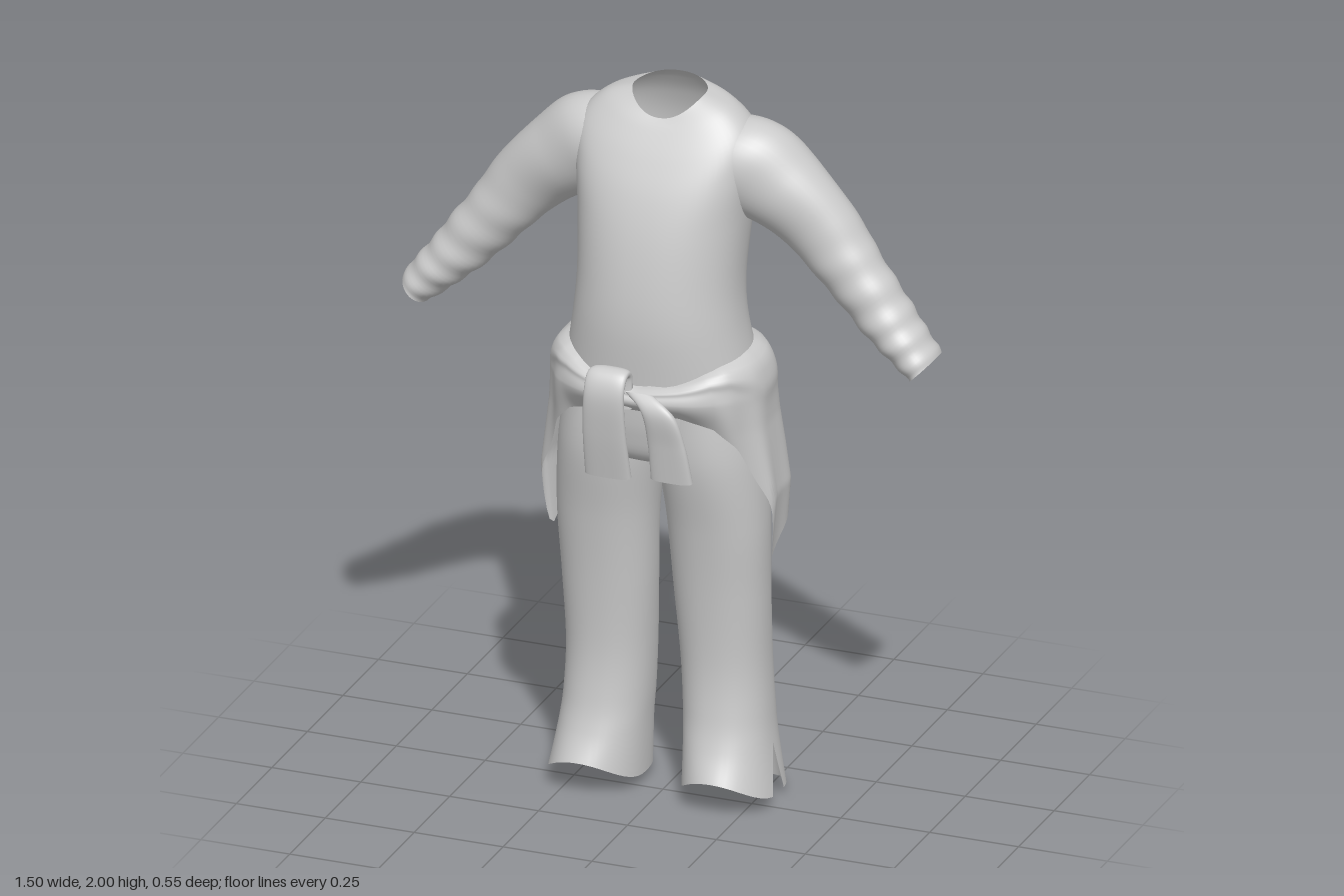
import * as THREE from 'three';
import { mergeVertices } from 'three/addons/utils/BufferGeometryUtils.js';

const cloth = new THREE.MeshStandardMaterial({ color: 0xcccccc, side: THREE.DoubleSide });
const V = (x, y, z) => new THREE.Vector3(x, y, z);

// Smooth interpolation through rows of numbers, t in 0..1
function sample(rows, t) {
  const n = rows.length - 1;
  const i = Math.min(Math.floor(t * n), n - 1), f = t * n - i;
  const [a, b, c, d] = [rows[Math.max(i - 1, 0)], rows[i], rows[i + 1], rows[Math.min(i + 2, n)]];
  return b.map((q, k) => q + 0.5 * f * (c[k] - a[k]
    + f * (2 * a[k] - 5 * q + 4 * c[k] - d[k] + f * (3 * (q - c[k]) + d[k] - a[k]))));
}

// Piecewise linear lookup in rows sorted by their first number
function lookup(rows, x) {
  for (let i = 1; i < rows.length; i++) {
    const [a, b] = [rows[i - 1], rows[i]];
    if (x <= b[0] || i === rows.length - 1) {
      const f = THREE.MathUtils.clamp((x - a[0]) / (b[0] - a[0]), 0, 1);
      return a.map((q, k) => q + (b[k] - q) * f);
    }
  }
}

// Smooth cloth sheet from a point function of u (around) and v (along)
function sheet(name, nu, nv, point) {
  const pos = [], idx = [];
  for (let j = 0; j <= nv; j++)
    for (let i = 0; i <= nu; i++) pos.push(...point(i / nu, j / nv).toArray());
  for (let j = 0; j < nv; j++)
    for (let i = 0; i < nu; i++) {
      const a = j * (nu + 1) + i, c = a + nu + 1;
      idx.push(a, a + 1, c, a + 1, c + 1, c);
    }
  let geo = new THREE.BufferGeometry();
  geo.setAttribute('position', new THREE.Float32BufferAttribute(pos, 3));
  geo.setIndex(idx);
  geo = mergeVertices(geo, 1e-4);
  geo.computeVertexNormals();
  const mesh = new THREE.Mesh(geo, cloth);
  mesh.name = name;
  return mesh;
}

const mirrored = (f) => (u, v) => {
  const p = f(1 - u, v);
  p.x *= -1;
  return p;
};

// Rounded ring: rows of [yFront, yBack, ySide, xInner, xOuter, zFront, zBack, gap]
const ringLoft = (rows, power = 1) => (u, v) => {
  const [yF, yB, yS, x0, x1, zF, zB, gap] = sample(rows, v);
  const g = Math.max(gap, 0), a = g + u * 2 * (Math.PI - g);
  const c = Math.cos(a), s = Math.sin(a);
  const sq = (q) => Math.sign(q) * Math.abs(q) ** power;
  const y = yS + ((s > 0 ? yF : yB) - yS) * s * s;
  return V((x0 + x1) / 2 + (x1 - x0) / 2 * sq(c), y, (zF + zB) / 2 + (zF - zB) / 2 * sq(s));
};

// Tube along rows of [x, y, z, width radius, thickness radius]
const tubeLoft = (rows, wide, power = 1, wrinkle = () => 0) => (u, v) => {
  const [x, y, z, rw, rt] = sample(rows, v);
  const p = (t) => V(...sample(rows, t).slice(0, 3));
  const T = p(Math.min(v + 0.01, 1)).sub(p(Math.max(v - 0.01, 0))).normalize();
  const N = T.clone().cross(wide).normalize();
  const a = u * 2 * Math.PI, k = 1 + wrinkle(a, v);
  const sq = (q) => Math.sign(q) * Math.abs(q) ** power;
  return V(x, y, z).addScaledVector(wide, rw * k * sq(Math.cos(a))).addScaledVector(N, rt * k * sq(Math.sin(a)));
};

const even = (y, rx, zF, zB) => [y, y, y, -rx, rx, zF, zB, 0];

const torsoRows = [
  [1.93, 2.0, 1.985, -0.10, 0.10, 0.03, -0.13, 0],
  [1.90, 1.97, 1.955, -0.18, 0.18, 0.055, -0.155, 0],
  [1.83, 1.91, 1.89, -0.24, 0.24, 0.10, -0.188, 0],
  [1.74, 1.82, 1.80, -0.245, 0.245, 0.145, -0.213, 0],
  [1.63, 1.68, 1.67, -0.232, 0.232, 0.18, -0.222, 0],
  even(1.5, 0.222, 0.203, -0.19),
  even(1.38, 0.23, 0.21, -0.18),
  even(1.24, 0.255, 0.2, -0.2),
];
const hipRows = [
  even(1.28, 0.245, 0.19, -0.19), even(1.18, 0.262, 0.182, -0.205),
  even(1.08, 0.272, 0.17, -0.205), even(1.0, 0.262, 0.14, -0.17), even(0.96, 0.08, 0.05, -0.06),
];
const leg = (y, x0, x1, zF, zB) => [y, y, y, x0, x1, zF, zB, 0];
const legRows = [
  leg(1.16, 0.01, 0.255, 0.165, -0.19), leg(1.0, 0.0, 0.28, 0.16, -0.18),
  leg(0.8, 0.02, 0.29, 0.12, -0.135), leg(0.6, 0.03, 0.285, 0.09, -0.14),
  leg(0.4, 0.042, 0.28, 0.073, -0.165), leg(0.26, 0.05, 0.285, 0.082, -0.178),
  leg(0.17, 0.056, 0.293, 0.105, -0.185),
  [0.1, 0.0, 0.03, 0.06, 0.315, 0.14, -0.2, 0.2],
];
const sleeveRows = [
  [0.13, 1.81, -0.06, 0.115, 0.115], [0.22, 1.79, -0.07, 0.12, 0.135],
  [0.31, 1.735, -0.08, 0.107, 0.12], [0.41, 1.645, -0.085, 0.09, 0.1],
  [0.50, 1.535, -0.083, 0.082, 0.087], [0.59, 1.43, -0.075, 0.08, 0.073],
  [0.66, 1.355, -0.068, 0.078, 0.062], [0.715, 1.30, -0.062, 0.075, 0.048],
];

// Tied jacket: [angle from back, top y, hem y]
const jacketEdge = [
  [0, 1.30, 0.905], [30, 1.30, 0.895], [55, 1.305, 0.85], [75, 1.31, 0.78], [90, 1.31, 0.715],
  [96, 1.31, 0.73], [103, 1.305, 0.86], [115, 1.30, 0.96], [126, 1.295, 1.06], [140, 1.28, 1.12],
  [160, 1.25, 1.15], [180, 1.23, 1.16],
];
// Jacket girth by height: [y, half width, back depth, front depth]
const jacketGirth = [
  [0.7, 0.31, 0.262, 0.12], [0.9, 0.328, 0.268, 0.14], [1.0, 0.315, 0.265, 0.165], [1.1, 0.302, 0.25, 0.19],
  [1.2, 0.297, 0.226, 0.208], [1.26, 0.285, 0.215, 0.212], [1.31, 0.262, 0.205, 0.208],
];
function jacketPoint(u, v) {
  const a = u * 2 * Math.PI;
  const deg = 180 - Math.abs(180 - u * 360);
  const [, top, hem] = lookup(jacketEdge, deg);
  const y = top + (hem - top) * v;
  const [, rx, zB, zF] = lookup(jacketGirth, y);
  const front = THREE.MathUtils.smoothstep(deg, 110, 160);
  // rolled top edge, puffed front band and soft drape folds
  const tuck = -0.035 * Math.max(0, 1 - v / 0.07) ** 2;
  const puff = front * (0.03 * Math.sin(Math.PI * v) - 0.012);
  const fold = 0.007 * Math.sin(deg * 0.2) * v * (1 - front) + 0.006 * Math.exp(-(((v - 0.16) / 0.07) ** 2));
  const d = tuck + puff + fold, s = Math.sin(a), c = -Math.cos(a);
  const sq = (q) => Math.sign(q) * Math.abs(q) ** 0.85;
  return V((rx + d) * sq(s), y, ((c < 0 ? zB : zF) + d) * sq(c));
}

const knotRows = [
  [-0.05, 1.17, 0.205, 0.045, 0.012], [-0.055, 1.26, 0.205, 0.05, 0.014], [-0.06, 1.272, 0.24, 0.055, 0.014],
  [-0.062, 1.22, 0.262, 0.056, 0.014], [-0.065, 1.11, 0.25, 0.06, 0.014], [-0.065, 0.98, 0.222, 0.064, 0.016],
];
const tailRows = [
  [0.02, 1.22, 0.215, 0.04, 0.012], [0.08, 1.18, 0.238, 0.045, 0.014],
  [0.1, 1.09, 0.225, 0.052, 0.014], [0.108, 0.985, 0.208, 0.058, 0.016],
];

export function createModel() {
  const model = new THREE.Group();
  model.name = 'outfit';

  // Shirt
  model.add(sheet('shirtBody', 64, 48, ringLoft(torsoRows, 0.92)));
  const wrinkle = (a, v) => {
    const low = THREE.MathUtils.smoothstep(v, 0.4, 0.7);
    return low * 0.035 * Math.sin(v * 62 + 1.5 * Math.sin(a)) + 0.015 * Math.sin(v * 25 + 2 * a);
  };
  const sleeve = tubeLoft(sleeveRows, V(0, 0, 1), 1, wrinkle);
  model.add(sheet('leftSleeve', 40, 64, sleeve), sheet('rightSleeve', 40, 64, mirrored(sleeve)));

  // Trousers with slit hems
  model.add(sheet('trouserHips', 64, 24, ringLoft(hipRows, 0.92)));
  const trouserLeg = ringLoft(legRows, 0.92);
  model.add(sheet('leftTrouserLeg', 48, 56, trouserLeg), sheet('rightTrouserLeg', 48, 56, mirrored(trouserLeg)));

  // Jacket tied round the waist, with its knotted sleeves hanging in front
  model.add(sheet('tiedJacket', 144, 40, jacketPoint));
  model.add(sheet('jacketKnotSleeve', 32, 40, tubeLoft(knotRows, V(1, 0, 0), 0.7)));
  model.add(sheet('jacketHangingSleeve', 32, 30, tubeLoft(tailRows, V(1, 0, 0), 0.7)));
  return model;
}
